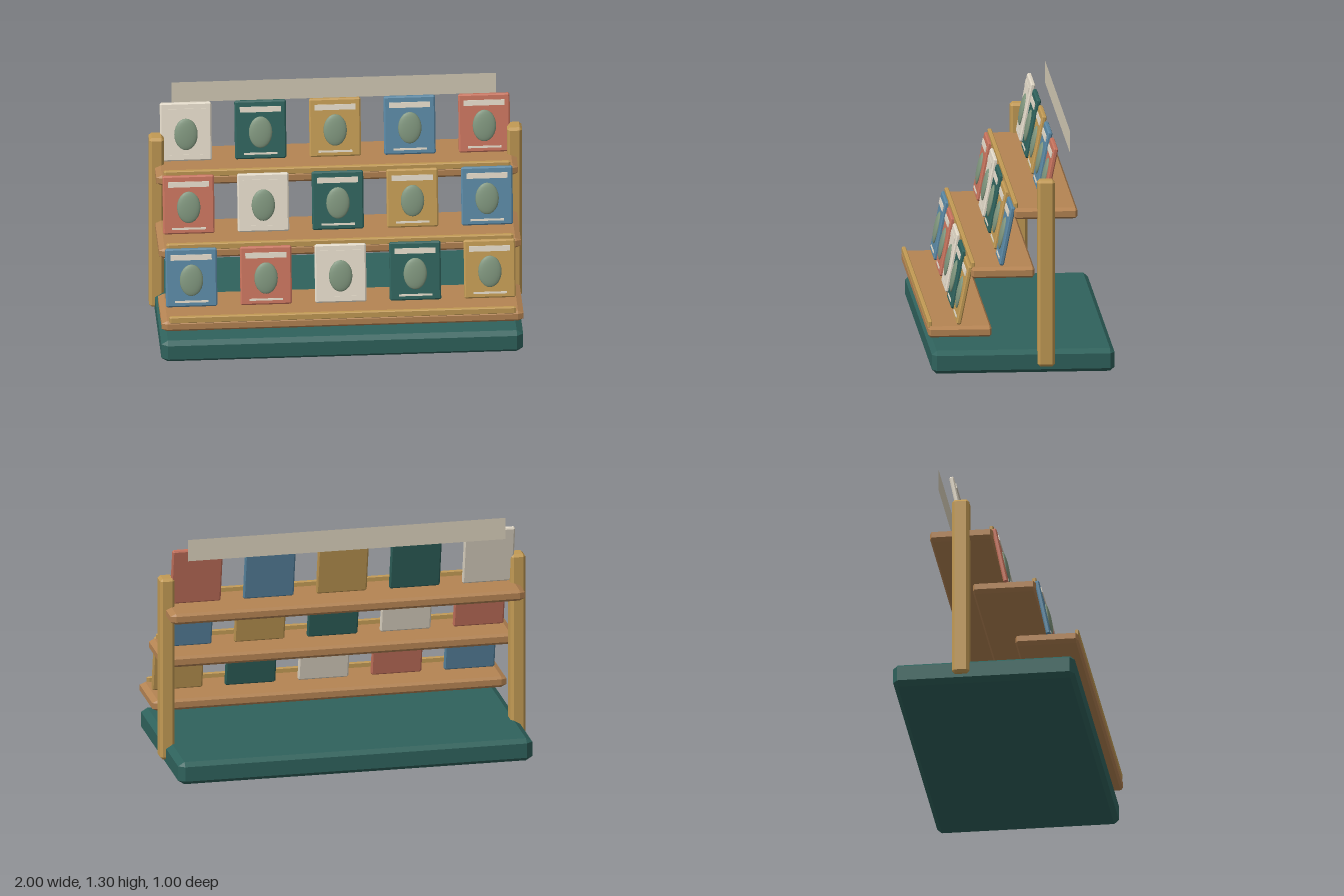
import * as THREE from 'three';
import { ConvexGeometry } from 'three/addons/geometries/ConvexGeometry.js';

const mat = (name, color) => {
  const m = new THREE.MeshStandardMaterial();
  m.name = name;
  m.color.set(color);
  return m;
};

// Box with all edges cut; cx, cy, cz are the cut depths along each axis
function chamferBox(w, h, d, cx, cy = cx, cz = cx) {
  const pts = [];
  const [a, b, c] = [w / 2, h / 2, d / 2];
  for (const x of [-1, 1]) for (const y of [-1, 1]) for (const z of [-1, 1]) {
    pts.push(
      new THREE.Vector3(x * a, y * (b - cy), z * (c - cz)),
      new THREE.Vector3(x * (a - cx), y * b, z * (c - cz)),
      new THREE.Vector3(x * (a - cx), y * (b - cy), z * c));
  }
  return new ConvexGeometry(pts);
}

export function createModel() {
  const root = new THREE.Group();
  root.name = 'displayStand';

  const teal = mat('teal', 0x2f625c);
  const wood = mat('shelf wood', 0xb58453);
  const gold = mat('golden wood', 0xc29a54);
  const cream = mat('cream', 0xe2d9c8);
  const blue = mat('blue', 0x5a87a3);
  const coral = mat('coral', 0xc7735d);
  const sage = mat('sage', 0x7f957d);
  const card = mat('header card', 0xd6cdb8);
  card.side = THREE.DoubleSide;

  const add = (parent, name, geometry, material, x, y, z) => {
    const m = new THREE.Mesh(geometry, material);
    m.name = name;
    m.position.set(x, y, z);
    parent.add(m);
    return m;
  };

  // Base slab
  add(root, 'base', chamferBox(1.94, 0.125, 0.98, 0.035, 0.022, 0.025), teal, 0, 0.0625, -0.01);

  // Side posts
  const postGeo = chamferBox(0.08, 1.02, 0.092, 0.014);
  for (const s of [1, -1]) add(root, s > 0 ? 'leftPost' : 'rightPost', postGeo, gold, s * 0.96, 0.55, -0.13);

  const shelfGeo = chamferBox(1.94, 0.06, 0.34, 0.03, 0.014, 0.012);
  const lipGeo = chamferBox(1.86, 0.037, 0.022, 0.012, 0.004, 0.004);
  const packetGeo = chamferBox(0.276, 0.325, 0.025, 0.008, 0.008, 0.006);
  const labelGeo = new THREE.BoxGeometry(0.22, 0.03, 0.008);
  const stripGeo = new THREE.BoxGeometry(0.18, 0.011, 0.006);
  const ovalGeo = new THREE.SphereGeometry(1, 20, 12);
  ovalGeo.scale(0.063, 0.088, 0.016);
  const covers = [cream, teal, gold, blue, coral];

  // Three stepped shelves, each with a lip and five leaning packets
  for (let row = 0; row < 3; row++) {
    const shelf = new THREE.Group();
    shelf.name = 'shelfRow' + (row + 1);
    shelf.position.set(0, 0.32 * row, -0.23 * row);
    root.add(shelf);
    add(shelf, 'shelf', shelfGeo, wood, 0, 0.23, 0.33);
    add(shelf, 'lip', lipGeo, gold, 0, 0.268, 0.489);

    for (let i = 0; i < 5; i++) {
      const packet = new THREE.Group();
      packet.name = 'packet' + (i + 1);
      packet.position.set((i - 2) * 0.4, 0.425, 0.305);
      packet.rotation.x = -0.2;
      shelf.add(packet);
      add(packet, 'cover', packetGeo, covers[(i + 3 + row) % 5], 0, 0, 0);
      add(packet, 'label', labelGeo, cream, 0, 0.115, 0.0135);
      add(packet, 'oval', ovalGeo, sage, 0, -0.013, 0.0135);
      add(packet, 'bottomStrip', stripGeo, cream, 0, -0.132, 0.0125);
    }
  }

  // Thin header card behind the top row
  add(root, 'headerCard', new THREE.PlaneGeometry(1.74, 0.12), card, 0, 1.245, -0.265);

  return root;
}
